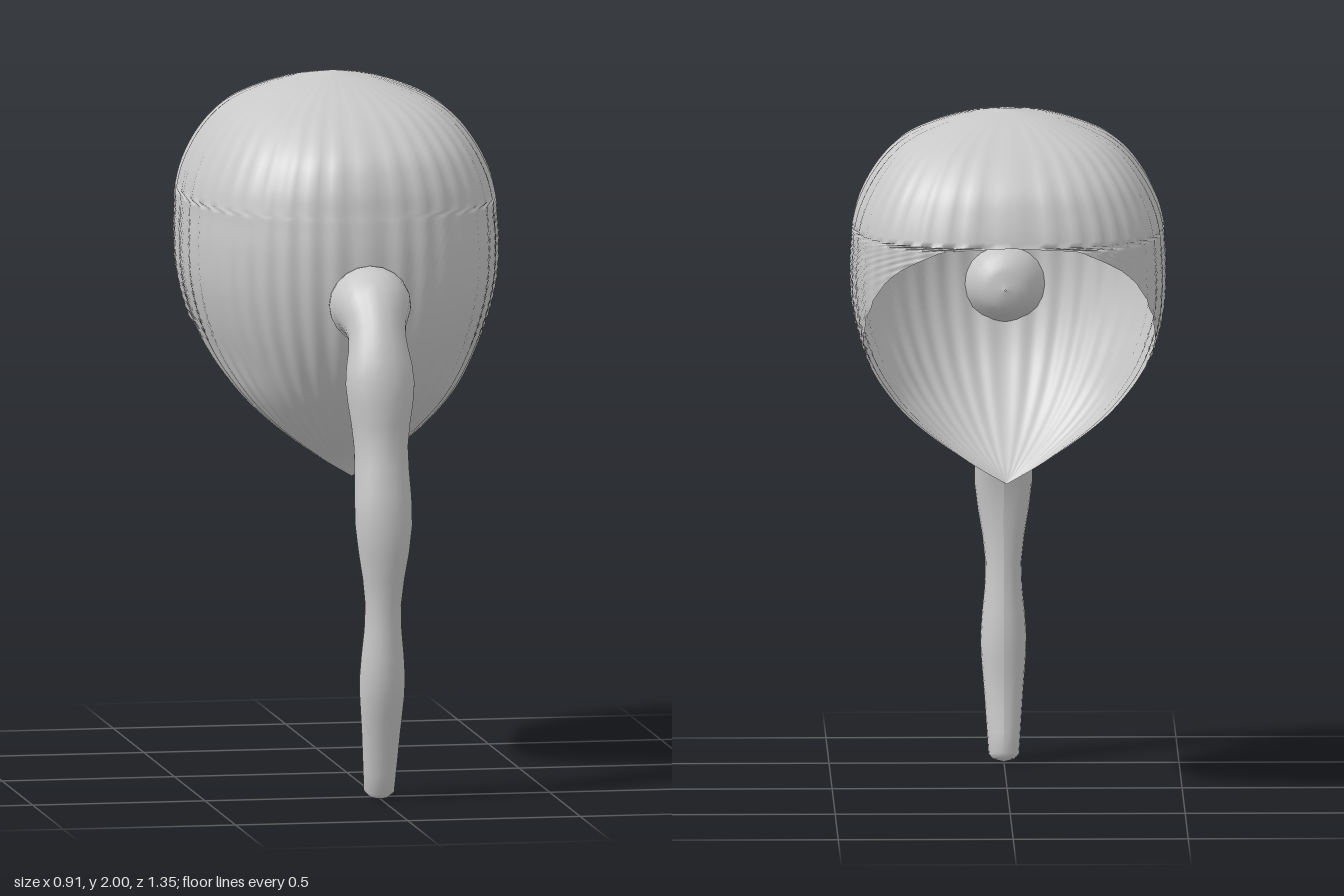
import * as THREE from 'three';

const hair = new THREE.MeshStandardMaterial({ color: 0xc8c8c8, side: THREE.DoubleSide });
hair.name = 'hair grey';

// Skin a list of equally long point rows into one smooth surface
function skin(rows) {
  const n = rows[0].length;
  const index = [];
  for (let i = 0; i < rows.length - 1; i++) {
    for (let j = 0; j < n - 1; j++) {
      const a = i * n + j, b = a + 1, c = a + n, d = c + 1;
      index.push(a, c, b, b, c, d);
    }
  }
  const g = new THREE.BufferGeometry().setFromPoints(rows.flat());
  g.setIndex(index);
  g.computeVertexNormals();
  return g;
}

// Smooth interpolation of table columns, three at a time
function columns(table, a, b, c) {
  const pts = table.map((r) => new THREE.Vector3(r[a], r[b], r[c]));
  return new THREE.CatmullRomCurve3(pts, false, 'catmullrom', 0.5);
}

// Cap sections: y, half width, front z, back z, widest z, rim z
const CAP = [
  [2.0, 0.002, -0.218, -0.222, -0.22, -0.8],
  [1.975, 0.14, -0.03, -0.36, -0.21, -0.8],
  [1.93, 0.26, 0.12, -0.47, -0.2, -0.8],
  [1.88, 0.33, 0.22, -0.55, -0.19, -0.8],
  [1.81, 0.385, 0.305, -0.62, -0.18, -0.8],
  [1.73, 0.425, 0.345, -0.655, -0.17, -0.8],
  [1.66, 0.443, 0.36, -0.673, -0.16, -0.673],
  [1.62, 0.446, 0.367, -0.675, -0.16, -0.635],
  [1.54, 0.45, 0.374, -0.675, -0.15, -0.55],
  [1.43, 0.445, 0.371, -0.67, -0.15, -0.45],
  [1.32, 0.42, 0.353, -0.66, -0.15, -0.32],
  [1.22, 0.38, 0.32, -0.65, -0.13, -0.13],
  [1.13, 0.325, 0.272, -0.6, -0.05, -0.05],
  [1.06, 0.265, 0.225, -0.6, 0.0, 0.0],
  [0.99, 0.185, 0.17, -0.6, 0.05, 0.05],
  [0.92, 0.085, 0.11, -0.6, 0.07, 0.07],
  [0.87, 0.002, 0.082, -0.6, 0.08, 0.08],
];

function capGeometry() {
  const size = columns(CAP, 1, 2, 3), place = columns(CAP, 0, 4, 5);
  const COLS = 160, ROWS = (CAP.length - 1) * 4;
  const rows = [], closed = [];
  for (let i = 0; i <= ROWS; i++) {
    const { x: w, y: front, z: back } = size.getPoint(i / ROWS);
    const { x: y, y: mid, z: rim } = place.getPoint(i / ROWS);
    // How far round the section reaches before it meets the rim
    const reach = THREE.MathUtils.clamp((mid - rim) / (mid - back), 0, 1);
    const whole = y > 1.66 || reach === 1;
    const limit = whole ? Math.PI : Math.PI / 2 + Math.asin(Math.pow(reach, 1.4));
    closed.push(whole);
    const row = [];
    for (let j = 0; j <= COLS; j++) {
      const phi = limit * (2 * j / COLS - 1);
      const c = Math.cos(phi), s = Math.sin(phi);
      const p = c > 0 ? 2 / 2.35 : 2 / 2.8;
      const lock = 1 + 0.007 * Math.cos(40 * phi) + 0.006 * Math.cos(14 * phi) * Math.max(0, y - 1.6);
      const depth = (c > 0 ? front - mid : mid - back) * Math.sign(c) * Math.pow(Math.abs(c), p);
      row.push(new THREE.Vector3(
        w * Math.sign(s) * Math.pow(Math.abs(s), p) * lock, y, mid + depth * lock));
    }
    rows.push(row);
  }
  const g = skin(rows);
  // Join the shading along the back seam
  const nrm = g.attributes.normal, v = new THREE.Vector3();
  closed.forEach((whole, i) => {
    if (!whole) return;
    for (const k of [i * (COLS + 1), i * (COLS + 1) + COLS]) {
      v.fromBufferAttribute(nrm, k).setX(0).normalize();
      nrm.setXYZ(k, v.x, v.y, v.z);
    }
  });
  return g;
}

// Ponytail stations: y, z, half width, half depth
const TAIL = [
  [1.4, 0.27, 0.002, 0.002],
  [1.4, 0.29, 0.07, 0.07],
  [1.405, 0.36, 0.115, 0.11],
  [1.395, 0.425, 0.11, 0.105],
  [1.33, 0.495, 0.082, 0.085],
  [1.2, 0.545, 0.1, 0.088],
  [1.02, 0.56, 0.078, 0.08],
  [0.8, 0.607, 0.083, 0.069],
  [0.57, 0.595, 0.052, 0.056],
  [0.36, 0.582, 0.066, 0.067],
  [0.2, 0.56, 0.056, 0.052],
  [0.025, 0.527, 0.044, 0.046],
];

function tailGeometry() {
  const path = new THREE.CatmullRomCurve3(
    TAIL.map((r) => new THREE.Vector3(0, r[0], r[1])), false, 'catmullrom', 0.5);
  const radii = columns(TAIL, 2, 3, 3);
  const X = new THREE.Vector3(1, 0, 0);
  const SIDES = 20, ROWS = (TAIL.length - 1) * 3;
  const ring = (c, t, rx, rz) => {
    const up = new THREE.Vector3().crossVectors(t, X);
    return Array.from({ length: SIDES + 1 }, (_, j) => {
      const a = (j / SIDES) * Math.PI * 2 + Math.PI;
      return c.clone().addScaledVector(X, rx * Math.sin(a)).addScaledVector(up, rz * Math.cos(a));
    });
  };
  const rows = [];
  for (let i = 0; i <= ROWS; i++) {
    const u = i / ROWS, r = radii.getPoint(u);
    rows.push(ring(path.getPoint(u), path.getTangent(u), r.x, r.y));
  }
  // Blunt closed tip
  const t = path.getTangent(1);
  rows.push(ring(new THREE.Vector3(0, 0.01, 0.524), t, 0.03, 0.03));
  rows.push(ring(new THREE.Vector3(0, 0.003, 0.522), t, 0.001, 0.001));
  return skin(rows);
}

export function createModel() {
  const model = new THREE.Group();
  model.name = 'hairpiece';
  const cap = new THREE.Mesh(capGeometry(), hair);
  cap.name = 'hairCap';
  const tail = new THREE.Mesh(tailGeometry(), hair);
  tail.name = 'ponytail';
  model.add(cap, tail);
  return model;
}
